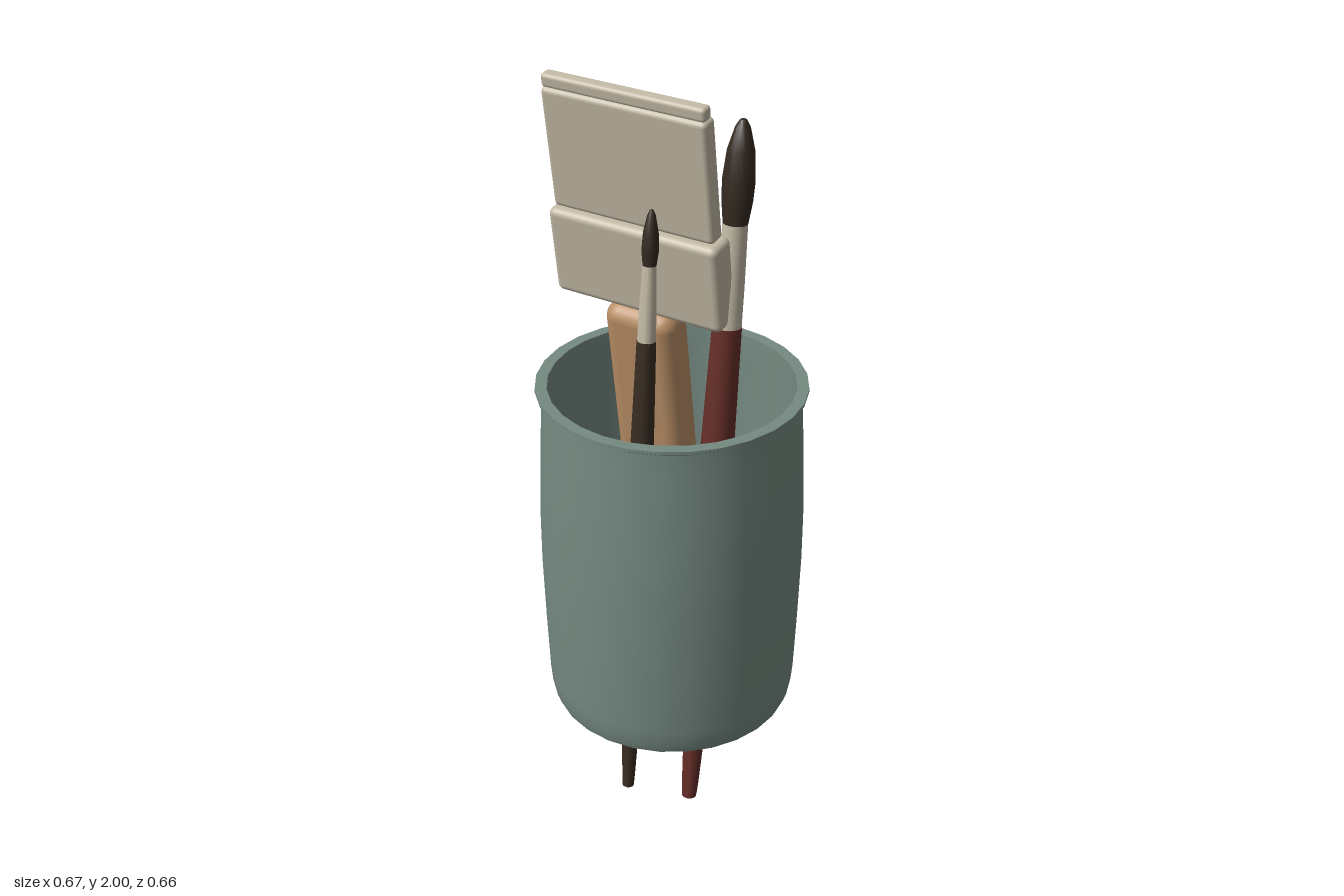
import * as THREE from 'three';
import { toCreasedNormals } from 'three/addons/utils/BufferGeometryUtils.js';
import { RoundedBoxGeometry } from 'three/addons/geometries/RoundedBoxGeometry.js';

const material = (name, color) => {
  const m = new THREE.MeshStandardMaterial({ color });
  m.name = name;
  return m;
};

const mats = {
  glaze: material('grey green glaze', 0x768a82),
  wood: material('light wood', 0xb98f66),
  beige: material('pale beige', 0xc2b9a5),
  red: material('dark red lacquer', 0x652e28),
  brown: material('dark brown lacquer', 0x382c22),
  hair: material('dark hair', 0x33291f),
};

function mesh(name, geometry, mat) {
  const m = new THREE.Mesh(geometry, mat);
  m.name = name;
  return m;
}

// Turned part from [radius, height] pairs, listed from the bottom up on the outside
function turned(name, profile, mat, segments) {
  const points = profile.map(([r, y]) => new THREE.Vector2(r, y));
  const geometry = new THREE.LatheGeometry(points, segments);
  return mesh(name, toCreasedNormals(geometry, 0.6), mat);
}

// Rounded slab between two heights
function slab(name, width, depth, y0, y1, radius, x, mat) {
  const m = mesh(name, new RoundedBoxGeometry(width, y1 - y0, depth, 3, radius), mat);
  m.position.set(x, (y0 + y1) / 2, 0);
  return m;
}

// Round brush standing on its thin end, leaning back by the given slope
function roundBrush(name, handle, ferrule, hair, handleMat, position, slope) {
  const g = new THREE.Group();
  g.name = name;
  g.add(
    turned(name + 'Handle', handle, handleMat, 16),
    turned(name + 'Ferrule', ferrule, mats.beige, 16),
    turned(name + 'Hair', hair, mats.hair, 16),
  );
  g.position.set(...position);
  g.rotation.x = Math.atan(slope);
  return g;
}

export function createModel() {
  const model = new THREE.Group();
  model.name = 'brushPot';

  // Barrel-shaped pot with a small lip and a recessed floor
  const pot = turned('pot', [
    [0, 0.42], [0.288, 0.42], [0.292, 0.37], [0.306, 0.37], [0.315, 0.395], [0.319, 0.44],
    [0.325, 0.6], [0.33, 0.78], [0.33, 0.92], [0.325, 1.08], [0.319, 1.2], [0.317, 1.252],
    [0.332, 1.262], [0.332, 1.27], [0.303, 1.27], [0.302, 1.2], [0.303, 0.9], [0.298, 0.6],
    [0.288, 0.435], [0, 0.435],
  ], mats.glaze, 28);
  pot.position.x = 0.002;
  model.add(pot);

  // Wide flat brush, leaning forward
  const flat = new THREE.Group();
  flat.name = 'flatBrush';
  flat.add(
    slab('flatBrushHandle', 0.196, 0.109, 0.002, 1.445, 0.042, -0.106, mats.wood),
    slab('flatBrushFerrule', 0.466, 0.08, 1.443, 1.674, 0.018, -0.104, mats.beige),
    slab('flatBrushBristles', 0.442, 0.048, 1.676, 1.988, 0.013, -0.105, mats.beige),
    slab('flatBrushTip', 0.438, 0.034, 1.984, 2.019, 0.01, -0.107, mats.beige),
  );
  flat.position.set(0, 0, -0.25);
  flat.rotation.x = Math.atan(0.14);
  model.add(flat);

  // Large red round brush
  model.add(roundBrush('redBrush',
    [[0, 0], [0.019, 0], [0.022, 0.04], [0.032, 0.3], [0.039, 0.7], [0.042, 1.0], [0.036, 1.35], [0, 1.35]],
    [[0.035, 1.35], [0.034, 1.45], [0.03, 1.61], [0, 1.61]],
    [[0, 1.605], [0.03, 1.605], [0.037, 1.66], [0.039, 1.71], [0.033, 1.78], [0.018, 1.835], [0.008, 1.852], [0, 1.855]],
    mats.red, [0.112, 0.08, 0.09], -0.12));

  // Small dark round brush
  model.add(roundBrush('smallBrush',
    [[0, 0], [0.015, 0], [0.017, 0.04], [0.025, 0.25], [0.032, 0.6], [0.031, 0.85], [0.023, 1.265], [0, 1.265]],
    [[0.022, 1.265], [0.021, 1.33], [0.016, 1.455], [0, 1.455]],
    [[0, 1.45], [0.016, 1.45], [0.02, 1.485], [0.018, 1.53], [0.01, 1.57], [0.004, 1.583], [0, 1.585]],
    mats.brown, [0.02, 0.19, 0.246], -0.083));

  return model;
}
